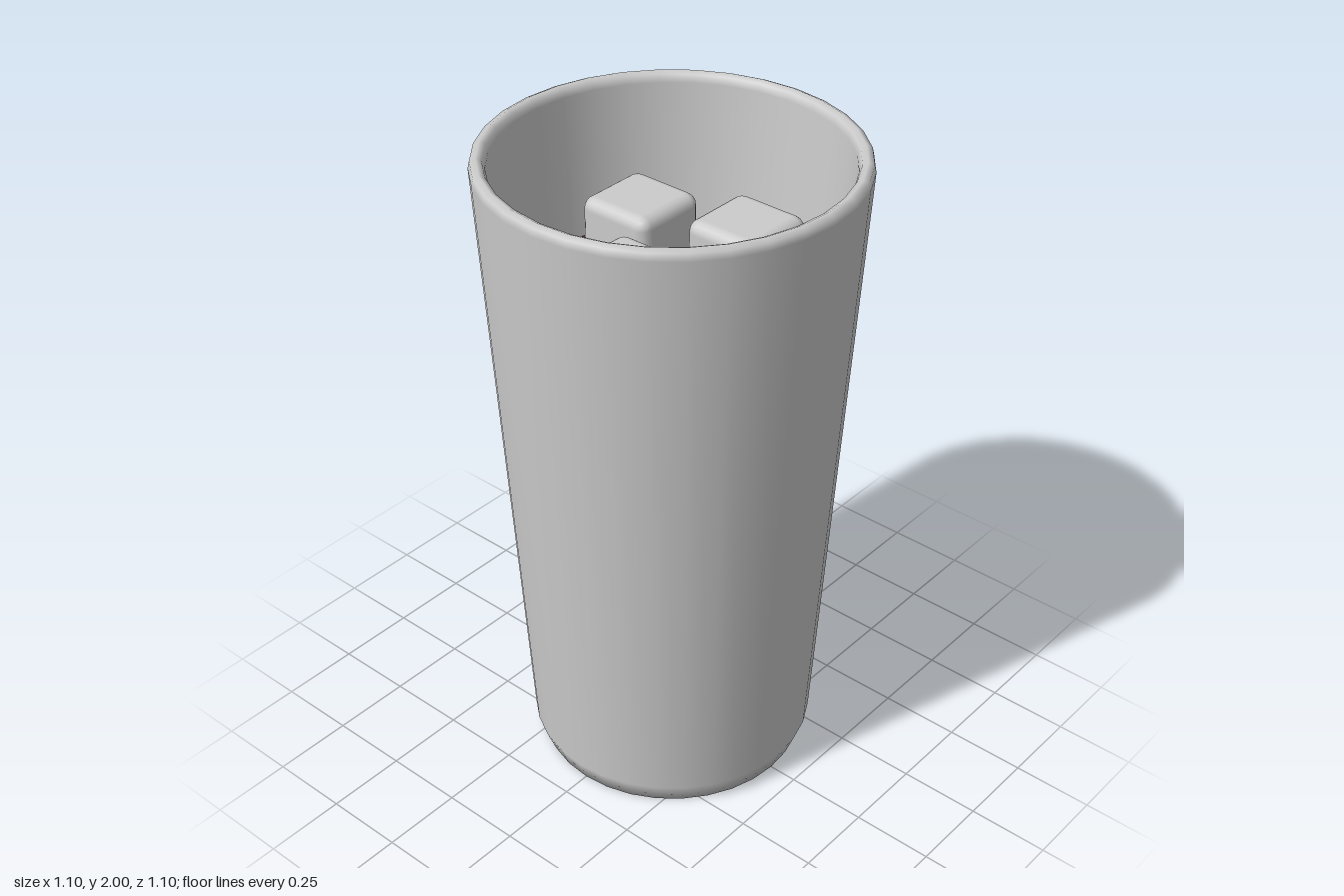
import * as THREE from 'three';
import { RoundedBoxGeometry } from 'three/addons/geometries/RoundedBoxGeometry.js';

const SIDES = 32;

export function createModel() {
  const group = new THREE.Group();
  const grey = new THREE.MeshStandardMaterial({ color: 0xcccccc });
  const brown = new THREE.MeshStandardMaterial({ color: 0x502a20 });

  const add = (name, geometry, material, x = 0, y = 0, z = 0) => {
    const mesh = new THREE.Mesh(geometry, material);
    mesh.name = name;
    mesh.position.set(x, y, z);
    group.add(mesh);
  };

  // Tapered tumbler: base, outer wall, rounded rim, inner wall, inner floor
  const profile = [
    [0, 0], [0.41, 0], [0.437, 0.07], [0.549, 1.97], [0.544, 1.992], [0.527, 2],
    [0.511, 1.992], [0.503, 1.97], [0.394, 0.12], [0.375, 0.08], [0, 0.08],
  ].map(([r, y]) => new THREE.Vector2(r, y));
  add('glass', new THREE.LatheGeometry(profile, SIDES), grey);

  // Drink filling the tumbler
  const bottom = 0.13, top = 1.53;
  add('drink', new THREE.CylinderGeometry(0.47, 0.388, top - bottom, SIDES), brown, 0, (top + bottom) / 2, 0);

  // Ice cubes resting on the drink: x, top height, z
  const size = 0.245;
  const ice = new RoundedBoxGeometry(size, size, size, 2, 0.036);
  [[-0.193, 1.77, -0.086], [0.163, 1.805, -0.125], [0.028, 1.77, 0.219]].forEach(([x, y, z], i) =>
    add(`iceCube${i + 1}`, ice, grey, x, y - size / 2, z));

  return group;
}
